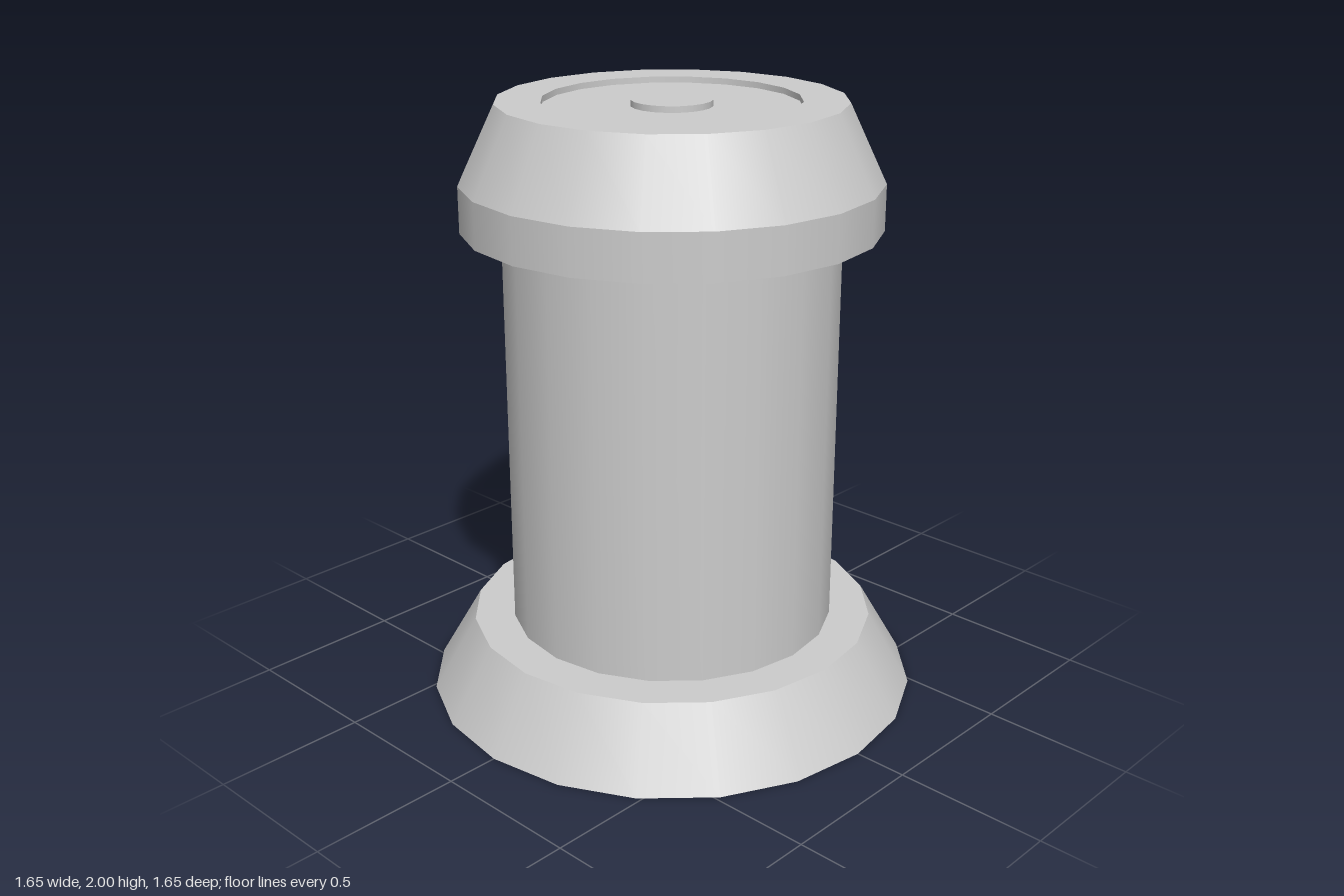
import * as THREE from 'three';
import { mergeGeometries } from 'three/addons/utils/BufferGeometryUtils.js';

const SIDES = 20;

// Revolves a profile of [radius, height] pairs: smooth around, sharp between bands
function turned(name, profile, side = THREE.FrontSide) {
  const bands = [];
  for (let i = 0; i < profile.length - 1; i++) {
    const pair = [profile[i], profile[i + 1]].map(([r, y]) => new THREE.Vector2(r, y));
    bands.push(new THREE.LatheGeometry(pair, SIDES));
  }
  const material = new THREE.MeshStandardMaterial({ color: 0xcccccc, side });
  const mesh = new THREE.Mesh(mergeGeometries(bands), material);
  mesh.name = name;
  return mesh;
}

export function createModel() {
  const model = new THREE.Group();
  model.name = 'pillar';

  // Flared foot: a thin shell, open underneath
  model.add(turned('base', [[0.825, 0], [0.68, 0.25], [0, 0.25]], THREE.DoubleSide));

  // Round column, its lower end just showing inside the foot
  model.add(turned('shaft', [[0, 0.247], [0.545, 0.247], [0.545, 1.61], [0, 1.61]]));

  // Overhanging cap with chamfered shoulder and a shallow recess on top
  model.add(turned('cap', [
    [0.5, 1.6], [0.675, 1.6], [0.675, 1.75], [0.555, 2],
    [0.41, 2], [0.41, 1.98], [0, 1.98],
  ]));

  // Small disc in the middle of the recess
  model.add(turned('knob', [[0.13, 1.98], [0.13, 2], [0, 2]]));

  return model;
}
